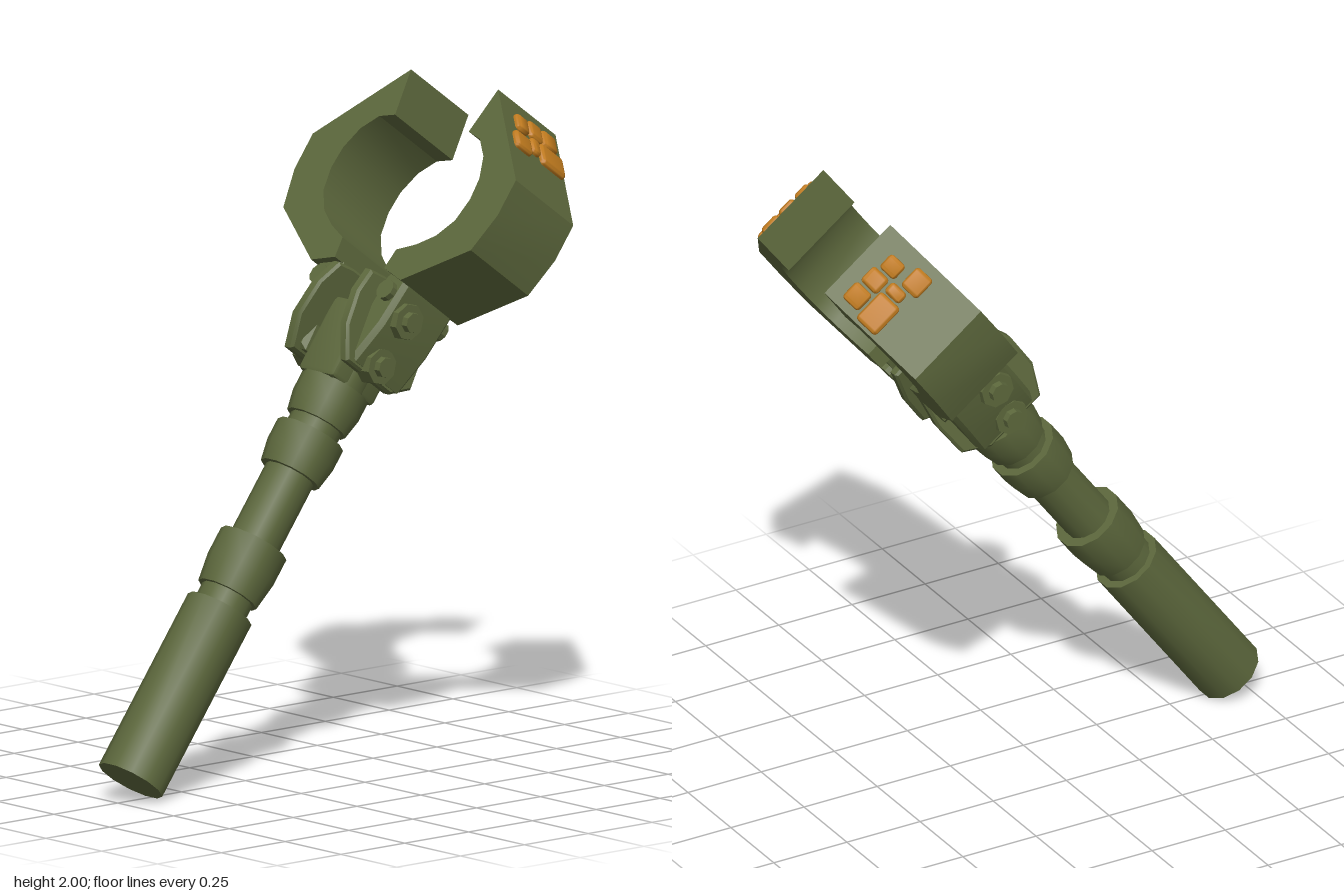
import * as THREE from 'three';
import { toCreasedNormals } from 'three/addons/utils/BufferGeometryUtils.js';
import { RoundedBoxGeometry } from 'three/addons/geometries/RoundedBoxGeometry.js';

const olive = new THREE.MeshStandardMaterial({ color: 0x5c673c });
olive.name = 'olive';
const orange = new THREE.MeshStandardMaterial({ color: 0xbf7a1e });
orange.name = 'orange';

const toShape = (pts) => new THREE.Shape(pts.map(([x, y]) => new THREE.Vector2(x, y)));

// Prism with a profile in x/y, centred on z
function prismZ(pts, depth, bevel = 0) {
  const d = depth - 2 * bevel;
  const g = new THREE.ExtrudeGeometry(toShape(pts), {
    depth: d, bevelEnabled: bevel > 0, bevelSize: bevel, bevelOffset: -bevel,
    bevelThickness: bevel, bevelSegments: 1,
  });
  return g.translate(0, 0, -d / 2);
}

// Prism with a profile in z/y, running along x
function prismX(pts, x0, x1) {
  const g = prismZ(pts.map(([z, y]) => [-z, y]), x1 - x0, 0.008);
  return g.rotateY(Math.PI / 2).translate((x0 + x1) / 2, 0, 0);
}

// Mirror across x, keeping faces outward
function mirrored(geo) {
  const g = geo.index ? geo.toNonIndexed() : geo.clone();
  g.scale(-1, 1, 1);
  for (const attr of Object.values(g.attributes)) {
    const n = attr.itemSize, a = attr.array;
    for (let i = 0; i < attr.count; i += 3) {
      for (let k = 0; k < n; k++) {
        const p = (i + 1) * n + k, q = (i + 2) * n + k;
        [a[p], a[q]] = [a[q], a[p]];
      }
    }
  }
  return g;
}

function add(parent, name, geo, mat, crease = 0.6) {
  const mesh = new THREE.Mesh(toCreasedNormals(geo, crease), mat);
  mesh.name = name;
  parent.add(mesh);
}

function addPair(parent, name, geo, mat, crease = 0.6) {
  const g = toCreasedNormals(geo, crease);
  for (const [side, geom] of [['left', g], ['right', mirrored(g)]]) {
    const mesh = new THREE.Mesh(geom, mat);
    mesh.name = side + name;
    parent.add(mesh);
  }
}

export function createModel() {
  const root = new THREE.Group();
  root.name = 'grabber';

  // Everything is built upright along y, then leaned back
  const tool = new THREE.Group();
  tool.name = 'tool';
  tool.rotation.x = -0.64;
  tool.position.set(0, 0.063, 0.70);
  root.add(tool);

  // Handle, collars and rod
  const turned = (name, pts) => add(tool, name, new THREE.LatheGeometry(
    pts.map(([r, y]) => new THREE.Vector2(r, y)), 12, Math.PI / 12), olive);
  turned('handle', [[0, 0], [0.105, 0], [0.105, 0.585], [0, 0.585]]);
  turned('rod', [[0, 0.57], [0.082, 0.57], [0.082, 0.65], [0.078, 0.80], [0.078, 1.05],
    [0.082, 1.17], [0.082, 1.23], [0.09, 1.33], [0.09, 1.42], [0, 1.42]]);
  const collar = (name, y0, y1) => turned(name,
    [[0, y0], [0.096, y0], [0.108, y0 + (y1 - y0) * 0.5], [0.108, y1], [0, y1]]);
  collar('lowerCollar', 0.635, 0.808);
  collar('middleCollar', 1.045, 1.18);
  collar('upperCollar', 1.218, 1.342);

  // Hinge block between the claws
  add(tool, 'hingeBlock', new RoundedBoxGeometry(0.16, 0.25, 0.2, 1, 0.015).translate(0, 1.465, 0), olive);

  // Leaning hinge plates, closer together at the top
  const plate = prismX([[0.13, 1.385], [0.18, 1.48], [0.185, 1.59], [0.16, 1.67], [0.10, 1.68],
    [-0.13, 1.68], [-0.155, 1.56], [-0.155, 1.44], [-0.08, 1.385]], 0, 0.04);
  const pos = plate.attributes.position;
  for (let i = 0; i < pos.count; i++) {
    pos.setX(i, pos.getX(i) + 0.105 - (pos.getY(i) - 1.385) * 0.19);
  }
  plate.computeVertexNormals();
  addPair(tool, 'HingePlate', plate, olive);

  // Claw roots
  addPair(tool, 'ClawRoot', prismZ([[0.08, 1.40], [0.145, 1.40], [0.185, 1.53], [0.205, 1.70],
    [0.15, 1.75], [0.10, 1.68]], 0.23, 0.015), olive);

  // Side bolts with caps
  for (const [z, y, x] of [[0.04, 1.578, 0.185], [0.02, 1.43, 0.145]]) {
    const along = (r, len, sides, x0) => new THREE.CylinderGeometry(r, r * 1.1, len, sides)
      .rotateZ(-Math.PI / 2).translate(x0, y, z);
    addPair(tool, 'BoltNut', along(0.055, 0.05, 8, x), olive);
    addPair(tool, 'BoltCap', along(0.03, 0.03, 8, x + 0.03), olive);
  }

  // Pins across each claw root
  addPair(tool, 'RootPin', new THREE.CylinderGeometry(0.032, 0.032, 0.27, 10)
    .rotateX(Math.PI / 2).translate(0.15, 1.63, 0), olive);

  // Claws: faceted outside, rounded inside
  const claw = [[0.195, 2.314], [0.165, 2.165], [0.225, 2.15], [0.275, 2.10], [0.305, 2.03],
    [0.311, 1.96], [0.295, 1.885], [0.25, 1.825], [0.19, 1.785], [0.12, 1.755], [0.11, 1.69],
    [0.20, 1.665], [0.42, 1.805], [0.455, 1.93], [0.455, 2.05]];
  addPair(tool, 'Claw', prismZ(claw, 0.28), olive, 0.5);

  // Raised patches on the outer facet of each claw: along facet, z, width, length
  const patches = [[0.075, -0.08, 0.065, 0.065], [0.08, -0.01, 0.065, 0.06], [0.09, 0.055, 0.06, 0.055],
    [0.155, -0.075, 0.08, 0.11], [0.15, 0.005, 0.06, 0.04], [0.175, 0.07, 0.065, 0.075]];
  for (const [u, z, w, len] of patches) {
    const geo = new RoundedBoxGeometry(w, 0.03, len, 2, 0.012)
      .translate(u, 0, z).rotateZ(-0.79).translate(0.197, 2.314, 0);
    addPair(tool, 'Patch', geo, orange, 0.9);
  }
  return root;
}
